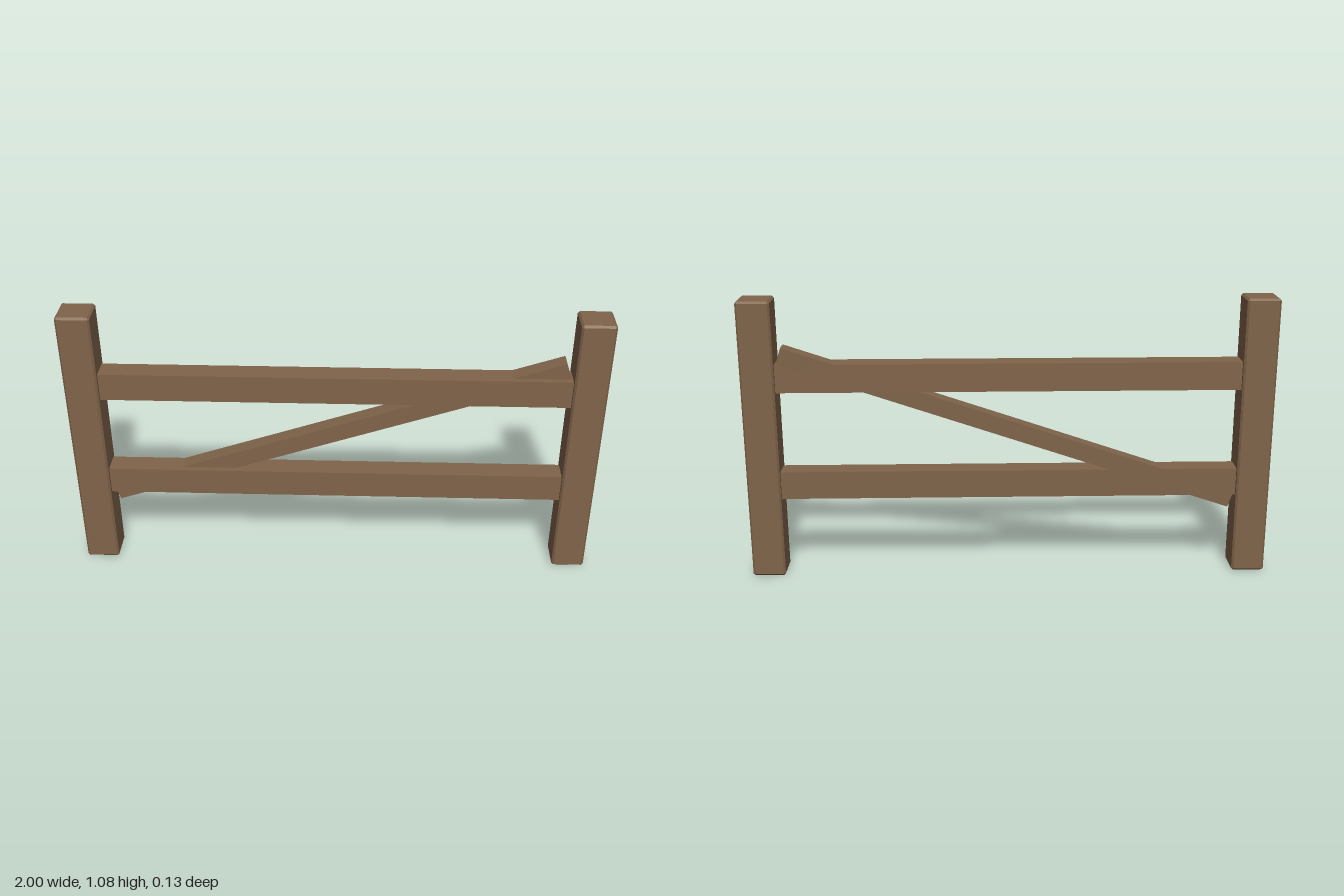
import * as THREE from 'three';
import { ConvexGeometry } from 'three/addons/geometries/ConvexGeometry.js';

// Box with every edge cut by a flat chamfer
function chamferedBox(w, h, d, c) {
  const half = [w / 2, h / 2, d / 2];
  const points = [];
  for (const sx of [-1, 1]) for (const sy of [-1, 1]) for (const sz of [-1, 1]) {
    for (let full = 0; full < 3; full++) {
      const p = half.map((v, i) => (i === full ? v : v - c));
      points.push(new THREE.Vector3(sx * p[0], sy * p[1], sz * p[2]));
    }
  }
  return new ConvexGeometry(points);
}

export function createModel() {
  const group = new THREE.Group();
  group.name = 'fence';
  const wood = new THREE.MeshStandardMaterial({ color: 0x80644a });
  wood.name = 'brown wood';

  const add = (name, geometry, x, y, z) => {
    const mesh = new THREE.Mesh(geometry, wood);
    mesh.name = name;
    mesh.position.set(x, y, z);
    group.add(mesh);
    return mesh;
  };

  // Upright posts
  const height = 1.082, width = 0.126;
  const post = chamferedBox(width, height, width, 0.0075);
  add('leftPost', post, 1 - width / 2, height / 2, 0);
  add('rightPost', post, -1 + width / 2, height / 2, 0);

  // Horizontal rails
  const rail = new THREE.BoxGeometry(1.752, 0.108, 0.084);
  add('upperRail', rail, 0, 0.786, 0);
  add('lowerRail', rail, 0, 0.365, 0);

  // Diagonal brace, flush with the back of the rails
  const brace = add('diagonalBrace', new THREE.BoxGeometry(1.81, 0.067, 0.062), 0, 0.583, -0.011);
  brace.rotation.z = 0.326;

  return group;
}
